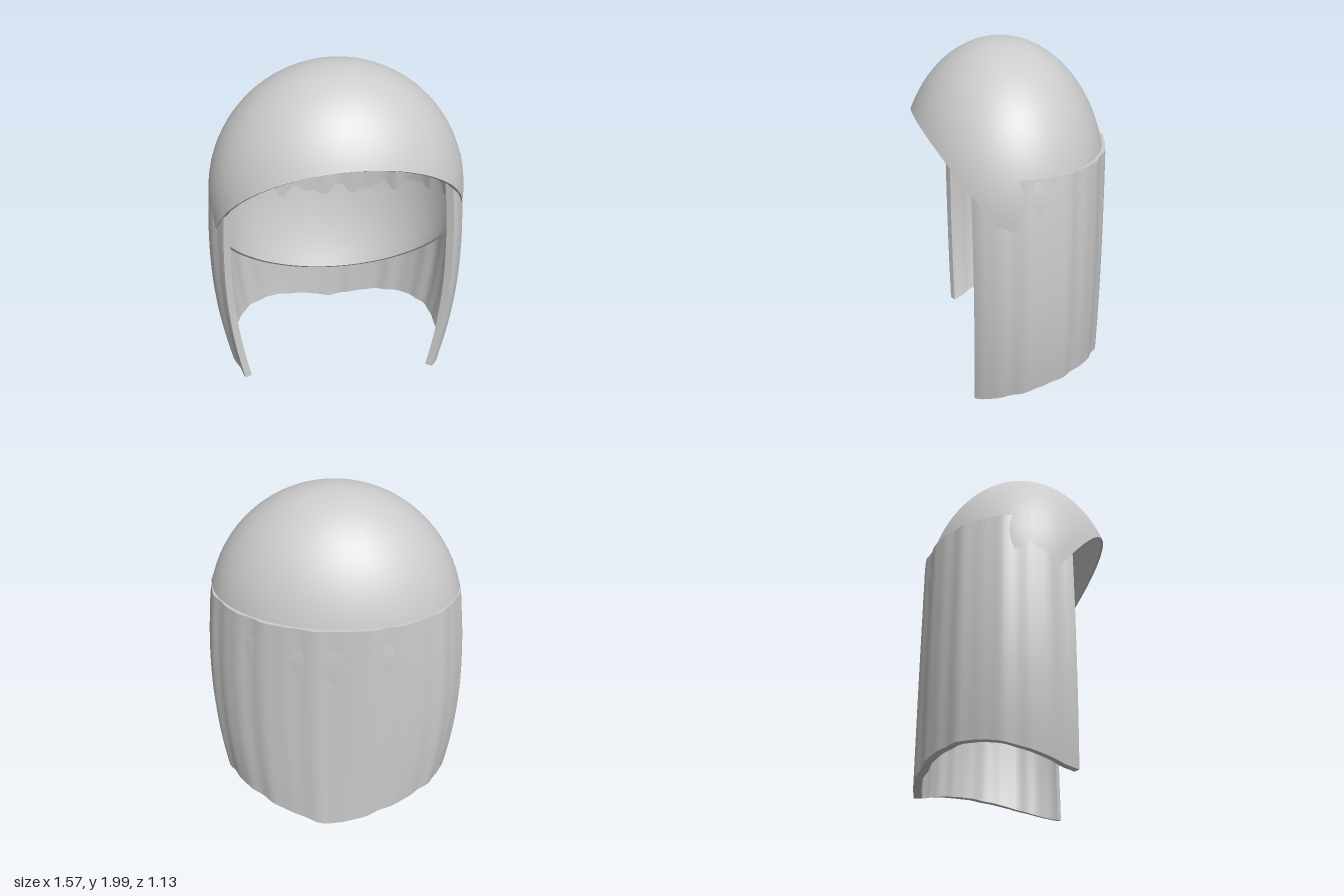
import * as THREE from 'three';
import { toCreasedNormals } from 'three/addons/utils/BufferGeometryUtils.js';

// Surface from a grid of points: fn(i, j) returns [x, y, z]
function gridGeometry(nu, nv, fn) {
  const pos = [], index = [];
  for (let i = 0; i <= nu; i++)
    for (let j = 0; j <= nv; j++) pos.push(...fn(i, j));
  for (let i = 0; i < nu; i++)
    for (let j = 0; j < nv; j++) {
      const a = i * (nv + 1) + j, b = a + nv + 1;
      index.push(a, a + 1, b, b, a + 1, b + 1);
    }
  const geo = new THREE.BufferGeometry();
  geo.setAttribute('position', new THREE.Float32BufferAttribute(pos, 3));
  geo.setIndex(index);
  return toCreasedNormals(geo, 0.8);
}

// Egg-shaped skull surface, t measured from the crown, a from the front
function eggPoint(a, t, inset = 0) {
  const c = Math.cos(t), r = Math.sin(t);
  return [
    (0.755 - inset) * r * Math.sin(a),
    1.2 + ((c > 0 ? 0.8 : 1.15) - inset) * c,
    0.04 + (0.6 - inset) * r * Math.cos(a),
  ];
}

// Where the egg meets the tilted cut that opens the face
function rimAngle(a) {
  let lo = 0, hi = Math.PI;
  for (let k = 0; k < 30; k++) {
    const t = (lo + hi) / 2;
    const [x, y, z] = eggPoint(a, t);
    const skew = 0.09 * x * THREE.MathUtils.smoothstep(z, -0.1, 0.2);
    if (y > 1.6 + (z - 0.57) * 1.32 + skew) lo = t; else hi = t;
  }
  return lo;
}

// Cap: outer skin down to the rim, then the inner skin back up to the crown
function capGeometry() {
  const nu = 64, rows = 24;
  return gridGeometry(nu, rows * 2 + 1, (i, j) => {
    const a = (i / nu) * Math.PI * 2;
    const inner = j > rows;
    const k = inner ? rows * 2 + 1 - j : j;
    return eggPoint(a, Math.max(0.002, (rimAngle(a) * k) / rows), inner ? 0.022 : 0);
  });
}

// Hanging hair: wraps sides and back, four scallops along the hem
function curtainGeometry() {
  const nu = 96, rows = 20, top = 1.41, thickness = 0.045;
  return gridGeometry(nu + 2, rows * 2 + 2, (i, j) => {
    const u = THREE.MathUtils.clamp(i - 1, 0, nu) / nu;
    const a = Math.PI / 3 + (u * Math.PI * 4) / 3;
    const end = i === 0 || i === nu + 2;
    const inner = j > rows && j < rows * 2 + 2;
    const k = j <= rows ? j : inner ? rows * 2 + 1 - j : 0;
    const hem = 0.008 + 0.135 * Math.pow(Math.abs(Math.sin((a - Math.PI) * 1.5)), 1.2);
    const y = top + (hem - top) * (k / rows);
    // sides bulge at mid height, back stays vertical
    const d = y - 0.75;
    const bulge = 1 - (d > 0 ? 0.15 : 0.2) * d * d;
    // soft vertical strands
    const strand = 0.004 * Math.sin(a * 17) + 0.003 * Math.sin(a * 29 + 1);
    const inset = (inner && !end ? thickness : 0) - strand;
    return [
      (0.78 * bulge - inset) * Math.sin(a),
      y,
      0.02 + (0.58 - inset) * Math.cos(a),
    ];
  });
}

export function createModel() {
  const group = new THREE.Group();
  group.name = 'hair';
  const material = new THREE.MeshStandardMaterial({ color: 0xcccccc, side: THREE.DoubleSide });

  const cap = new THREE.Mesh(capGeometry(), material);
  cap.name = 'hairCap';
  const curtain = new THREE.Mesh(curtainGeometry(), material);
  curtain.name = 'hangingHair';

  group.add(cap, curtain);
  return group;
}
